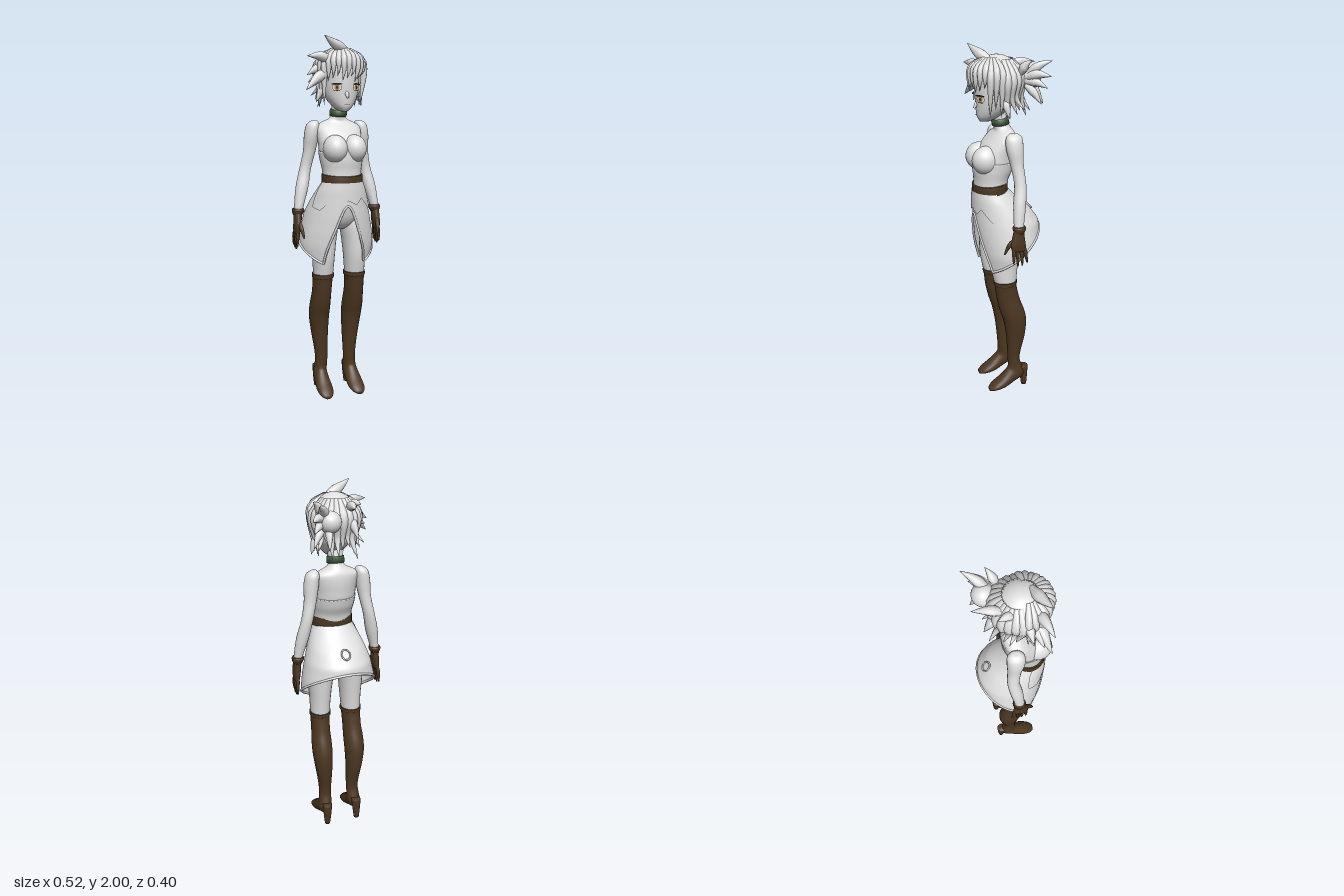
import * as THREE from 'three';
import { mergeVertices } from 'three/addons/utils/BufferGeometryUtils.js';

const material = (name, color) =>
  Object.assign(new THREE.MeshStandardMaterial({ color, side: THREE.DoubleSide }), { name });

// Smooth surface from a rule fn(u, v) -> [x, y, z]
function grid(fn, nu, nv) {
  const pos = [], idx = [], w = nu + 1;
  for (let i = 0; i <= nv; i++) for (let j = 0; j <= nu; j++) pos.push(...fn(j / nu, i / nv));
  for (let i = 0; i < nv; i++) for (let j = 0; j < nu; j++) {
    const a = i * w + j;
    idx.push(a, a + 1, a + w, a + 1, a + w + 1, a + w);
  }
  let g = new THREE.BufferGeometry();
  g.setAttribute('position', new THREE.Float32BufferAttribute(pos, 3));
  g.setIndex(idx);
  g = mergeVertices(g, 1e-5);
  g.computeVertexNormals();
  return g;
}

// Closed body through rings listed top to bottom: [x, y, z, halfWidth, halfDepth, tilt]
function loft(rings, n = 24, sub = 4) {
  const rows = [], at = i => rings[Math.min(Math.max(i, 0), rings.length - 1)];
  for (let i = 0; i < rings.length - 1; i++) for (let k = 0; k < sub; k++) {
    const t = k / sub;
    rows.push([0, 1, 2, 3, 4, 5].map(c => {
      const [p, q, r, s] = [-1, 0, 1, 2].map(d => at(i + d)[c] || 0);
      return q + 0.5 * t * (r - p + t * (2 * p - 5 * q + 4 * r - s + t * (3 * (q - r) + s - p)));
    }));
  }
  rows.push(at(rings.length));
  const nv = rows.length + 1;
  return grid((u, v) => {
    const i = Math.round(v * nv), cap = i === 0 || i === nv ? 0 : 1;
    const [x, y, z, w, d, tilt = 0] = rows[Math.min(Math.max(i - 1, 0), rows.length - 1)];
    const a = (u === 1 ? 0 : u) * Math.PI * 2, s = Math.sin(a) * d * cap;
    return [x + Math.cos(a) * w * cap, y + s * Math.sin(tilt), z + s * Math.cos(tilt)];
  }, n, nv);
}

// Tapered lock, spike or finger swept along points
function lock(points, r, tip = 0.03, sides = 8) {
  const curve = new THREE.CatmullRomCurve3(points.map(p => new THREE.Vector3(...p)));
  const seg = 10, g = new THREE.TubeGeometry(curve, seg, r, sides);
  const p = g.attributes.position, v = new THREE.Vector3();
  for (let i = 0; i < p.count; i++) {
    const t = Math.floor(i / (sides + 1)) / seg, c = curve.getPointAt(t);
    const k = t < 0.35 ? 0.6 + 0.4 * t / 0.35 : 1 - (1 - tip) * ((t - 0.35) / 0.65) ** 1.3;
    v.fromBufferAttribute(p, i).sub(c).multiplyScalar(k).add(c);
    p.setXYZ(i, v.x, v.y, v.z);
  }
  g.deleteAttribute('uv');
  g.deleteAttribute('normal');
  const m = mergeVertices(g, 1e-6);
  m.computeVertexNormals();
  return m;
}

// Linear lookup in a table of rows sorted by their first entry
function lookup(table, x) {
  let i = 0;
  while (i < table.length - 2 && x > table[i + 1][0]) i++;
  const t = Math.min(Math.max((x - table[i][0]) / (table[i + 1][0] - table[i][0]), 0), 1);
  return table[i].map((a, c) => a + (table[i + 1][c] - a) * t);
}

// Skirt cross-sections: [y, centreZ, halfWidth, halfDepth]
const SKIRT = [[0.79, -0.02, 0.2, 0.162], [0.88, -0.02, 0.214, 0.178], [0.96, -0.016, 0.204, 0.184],
  [1.05, -0.008, 0.184, 0.183], [1.12, 0.018, 0.16, 0.158], [1.19, 0.058, 0.132, 0.118], [1.24, 0.08, 0.107, 0.094]];
const skirtPoint = (phi, y, off = 0) => {
  const [, zc, w, d] = lookup(SKIRT, y);
  return [Math.sin(phi) * (w + off), y, zc + Math.cos(phi) * (d + off)];
};
const skirtHem = phi => {
  const a = Math.abs(phi);
  return a < 0.641 ? lookup([[0, 1.11], [0.1, 1.1], [0.22, 1.05], [0.641, 0.79]], a)[1]
    : 0.79 + (0.8 - Math.cos(a)) * 0.128;
};

export function createModel() {
  const model = new THREE.Group();
  model.name = 'figure';
  const pale = material('pale', 0xe0e0e0), brown = material('brown leather', 0x4d3721);
  const green = material('green band', 0x3d5c3d), dark = material('dark lash', 0x33261f);
  const amber = material('amber iris', 0xb98a3c), white = material('eye white', 0xf4f4f4), lip = material('lip', 0xa08c8a);
  const add = (name, geo, mat, pos = [0, 0, 0], scale = [1, 1, 1], rot = [0, 0, 0]) => {
    const m = new THREE.Mesh(geo, mat);
    m.name = name;
    m.position.set(...pos);
    m.scale.set(...scale);
    m.rotation.set(...rot);
    model.add(m);
    return m;
  };
  const ball = new THREE.SphereGeometry(1, 24, 16), disc = new THREE.CircleGeometry(1, 24);

  // Torso, halter top, belt and hips
  add('torso', loft([[0, 1.68, 0.04, 0.04, 0.04], [0, 1.6, 0.02, 0.04, 0.04], [0, 1.572, 0.01, 0.052, 0.045],
    [0, 1.555, 0.005, 0.088, 0.052], [0, 1.53, 0.012, 0.125, 0.068], [0, 1.49, 0.03, 0.126, 0.088],
    [0, 1.44, 0.05, 0.122, 0.104], [0, 1.4, 0.06, 0.12, 0.11], [0, 1.35, 0.067, 0.114, 0.104],
    [0, 1.3, 0.076, 0.105, 0.09], [0, 1.24, 0.08, 0.104, 0.088], [0, 1.2, 0.07, 0.11, 0.095]], 32), pale);
  add('halterTop', loft([[0, 1.4, 0.06, 0.124, 0.114], [0, 1.35, 0.067, 0.118, 0.108],
    [0, 1.3, 0.076, 0.109, 0.094], [0, 1.25, 0.08, 0.107, 0.091]], 32), pale);
  add('belt', loft([[0, 1.279, 0.083, 0.11, 0.092, -0.1], [0, 1.275, 0.083, 0.114, 0.096, -0.1],
    [0, 1.225, 0.083, 0.114, 0.096, -0.1], [0, 1.22, 0.083, 0.109, 0.09, -0.1]], 36, 1), brown);
  add('hips', loft([[0, 1.22, 0.07, 0.105, 0.088], [0, 1.12, 0.04, 0.128, 0.108], [0, 1.05, 0.025, 0.132, 0.11],
    [0, 1.0, 0.02, 0.1, 0.09], [0, 0.97, 0.02, 0.035, 0.055]], 28), pale);
  add('choker', loft([[0, 1.622, 0.026, 0.047, 0.046, -0.15], [0, 1.588, 0.018, 0.048, 0.047, -0.15]], 24, 1), green);

  // Skirt with arched front opening, rising back hem, edge trim and hip flaps
  const around = u => Math.PI * (1 - 2 * u);
  add('skirt', grid((u, v) => {
    const phi = around(u);
    return skirtPoint(phi, 1.24 + (skirtHem(phi) - 1.24) * v);
  }, 98, 16), pale);
  const hem = [];
  for (let i = 0; i < 98; i++) hem.push(new THREE.Vector3(...skirtPoint(around(i / 98), skirtHem(around(i / 98)))));
  add('skirtTrim', new THREE.TubeGeometry(new THREE.CatmullRomCurve3(hem, true), 196, 0.007, 6, true), pale);
  const flap = [[0, 1.14], [0.3, 1.115], [0.55, 1.15], [0.9, 1.085], [1.25, 1.1], [1.5, 1.2]];
  add('hipFlaps', grid((u, v) => {
    const phi = 1.5 - 3 * u;
    return skirtPoint(phi, 1.235 + (lookup(flap, Math.abs(phi))[1] - 1.235) * v, 0.007);
  }, 60, 8), pale);
  add('tailHoleRing', new THREE.TorusGeometry(0.03, 0.005, 8, 24), pale, [0, 1.12, -0.142], [0.8, 1, 1])
    .lookAt(0, 1.25, -0.282);

  for (const s of [1, -1]) {
    const side = s > 0 ? 'left' : 'right';
    const put = (name, rings, mat, n) => add(side + name, loft(rings.map(([x, ...r]) => [s * x, ...r]), n), mat);
    add(side + 'Bust', ball, pale, [s * 0.054, 1.413, 0.122], [0.066, 0.076, 0.076]);
    add(side + 'Buttock', ball, pale, [s * 0.062, 1.02, -0.03], [0.066, 0.075, 0.075]);

    // Arm and glove
    put('Arm', [[0.128, 1.562, -0.004, 0.015, 0.02], [0.137, 1.54, -0.004, 0.035, 0.044],
      [0.146, 1.48, -0.005, 0.04, 0.046], [0.155, 1.4, -0.014, 0.034, 0.036], [0.177, 1.3, -0.024, 0.032, 0.032],
      [0.2, 1.2, -0.012, 0.035, 0.034], [0.222, 1.1, 0, 0.026, 0.028], [0.23, 1.05, 0, 0.022, 0.026]], pale, 18);
    put('GloveCuff', [[0.227, 1.087, 0, 0.03, 0.032], [0.227, 1.078, 0, 0.034, 0.036],
      [0.228, 1.066, 0, 0.032, 0.034], [0.23, 1.05, 0.002, 0.024, 0.028]], brown, 18);
    put('GlovePalm', [[0.23, 1.07, 0.002, 0.024, 0.028], [0.232, 1.03, 0.006, 0.022, 0.034],
      [0.235, 0.985, 0.008, 0.02, 0.042], [0.238, 0.95, 0.004, 0.014, 0.04]], brown, 18);
    [[0.034, 0.036, 0.88], [0.014, 0.012, 0.863], [-0.008, -0.014, 0.865], [-0.026, -0.042, 0.878]].forEach(([z0, z1, y]) =>
      add(side + 'Finger', lock([[s * 0.236, 0.975, z0], [s * 0.242, 0.92, (z0 + z1) / 2], [s * 0.242, y, z1]], 0.012, 0.35), brown));
    add(side + 'Thumb', lock([[s * 0.23, 1.02, 0.025], [s * 0.224, 0.975, 0.06], [s * 0.216, 0.93, 0.078]], 0.013, 0.35), brown);

    // Thigh, tall boot and heel
    put('Thigh', [[0.075, 1.09, 0.02, 0.055, 0.07], [0.083, 1.0, 0.025, 0.074, 0.09], [0.09, 0.9, 0.03, 0.068, 0.086],
      [0.092, 0.8, 0.033, 0.06, 0.077], [0.094, 0.7, 0.028, 0.055, 0.062], [0.095, 0.66, 0.025, 0.05, 0.058]], pale);
    put('Boot', [[0.094, 0.718, 0.028, 0.061, 0.066], [0.094, 0.698, 0.028, 0.062, 0.066], [0.095, 0.685, 0.027, 0.056, 0.062],
      [0.097, 0.6, 0.012, 0.054, 0.066], [0.099, 0.52, -0.012, 0.058, 0.071], [0.099, 0.45, -0.03, 0.057, 0.067],
      [0.094, 0.35, -0.036, 0.048, 0.056], [0.088, 0.25, -0.03, 0.039, 0.041], [0.087, 0.19, -0.028, 0.036, 0.036, 0.1],
      [0.089, 0.145, -0.036, 0.037, 0.044, 0.25], [0.092, 0.105, -0.04, 0.04, 0.058, 0.5], [0.094, 0.075, 0, 0.042, 0.045, 0.9],
      [0.095, 0.044, 0.05, 0.046, 0.035, 1.2], [0.096, 0.025, 0.1, 0.04, 0.022, 1.45],
      [0.097, 0.014, 0.13, 0.02, 0.01, 1.55]], brown);
    put('Heel', [[0.092, 0.13, -0.085, 0.028, 0.03], [0.093, 0.08, -0.09, 0.025, 0.024],
      [0.094, 0.0, -0.092, 0.016, 0.016]], brown, 14);

    // Ear and eye
    add(side + 'Ear', ball, pale, [s * 0.1, 1.715, 0.035], [0.014, 0.036, 0.024], [0, 0, -s * 0.25]);
    const eye = new THREE.Group();
    eye.name = side + 'Eye';
    [['eyeWhite', white, 0, 0, 0, 0.027, 0.018], ['iris', amber, 0, 0, 0.002, 0.0135, 0.017], ['pupil', dark, 0, 0, 0.004, 0.006, 0.009],
      ['upperLash', dark, 0, 0.017, 0.005, 0.03, 0.005], ['lowerLash', dark, 0, -0.017, 0.003, 0.018, 0.002]].forEach(([name, mat, x, y, z, w, h]) => {
      const m = new THREE.Mesh(disc, mat);
      m.name = name;
      m.position.set(x, y, z);
      m.scale.set(w, h, 1);
      eye.add(m);
    });
    eye.position.set(s * 0.053, 1.735, 0.147);
    eye.rotation.y = s * 0.52;
    model.add(eye);
  }

  // Head
  add('head', loft([[0, 1.93, 0.05, 0.03, 0.04], [0, 1.9, 0.05, 0.075, 0.08], [0, 1.84, 0.05, 0.1, 0.105],
    [0, 1.77, 0.05, 0.1, 0.108], [0, 1.71, 0.052, 0.093, 0.103], [0, 1.67, 0.068, 0.076, 0.085],
    [0, 1.635, 0.088, 0.05, 0.06], [0, 1.612, 0.105, 0.022, 0.03]], 32), pale);
  add('nose', lock([[0, 1.715, 0.148], [0, 1.695, 0.157], [0, 1.682, 0.167]], 0.011, 0.5), pale);
  add('mouth', disc, lip, [0, 1.648, 0.154], [0.016, 0.003, 1]);

  // Hair cap, fringe and back locks
  add('hairCap', new THREE.SphereGeometry(1, 32, 20, 0, Math.PI * 2, 0, 1.75), pale, [0, 1.82, 0.042], [0.124, 0.13, 0.13], [-0.55, 0, 0]);
  for (let i = 0; i < 15; i++) {
    const a = -1.5 + i * 3 / 14, x = Math.sin(a), z = Math.cos(a);
    const tip = Math.abs(a) > 0.95 ? 1.645 + (i % 2) * 0.04 : 1.765 + (i % 3) * 0.014;
    add('fringeLock', lock([[x * 0.05, 1.93, 0.06 + z * 0.05], [x * 0.117, 1.88, 0.045 + z * 0.13],
      [x * 0.126, 1.82, 0.045 + z * 0.14], [x * 0.115 - 0.01, tip, 0.045 + z * 0.135]], 0.021), pale);
  }
  for (let i = 0; i < 13; i++) {
    const a = 1.6 + i * 3.08 / 12, x = Math.sin(a), z = Math.cos(a), r = 0.1 + (i % 3) * 0.022;
    add('backLock', lock([[x * 0.06, 1.92, 0.03 + z * 0.06], [x * 0.118, 1.84, 0.035 + z * 0.125],
      [x * 0.108, 1.74, 0.03 + z * 0.115], [x * r, 1.635 + (i % 4) * 0.02, 0.005 + z * r]], 0.03), pale);
  }

  // Stray locks: [root, tip, radius], bent upward a little in the middle
  [[[0.02, 1.925, 0.09], [-0.125, 1.995, 0.155], 0.03], [[-0.06, 1.87, 0.1], [-0.215, 1.89, 0.15], 0.028],
    [[-0.08, 1.82, 0.09], [-0.22, 1.72, 0.145], 0.03], [[-0.08, 1.84, 0.05], [-0.19, 1.8, 0.065], 0.026],
    [[-0.08, 1.8, 0.08], [-0.2, 1.76, 0.11], 0.026], [[-0.08, 1.76, 0.06], [-0.145, 1.66, 0.08], 0.024],
    [[-0.05, 1.88, -0.04], [-0.03, 1.9, -0.185], 0.026], [[-0.04, 1.84, -0.06], [-0.065, 1.74, -0.14], 0.026],
    [[-0.07, 1.88, 0], [-0.1, 1.9, -0.08], 0.024], [[0.09, 1.74, 0.04], [0.135, 1.64, 0.02], 0.022],
    [[0.09, 1.85, -0.09], [0.16, 1.925, -0.2], 0.026], [[0.1, 1.84, -0.08], [0.188, 1.85, -0.185], 0.026],
    [[0.1, 1.82, -0.08], [0.175, 1.79, -0.17], 0.024], [[0.1, 1.8, -0.08], [0.17, 1.71, -0.14], 0.022],
    [[0.1, 1.86, -0.05], [0.155, 1.93, -0.09], 0.024], [[0.08, 1.82, -0.1], [0.1, 1.7, -0.18], 0.022],
  ].forEach(([a, b, r]) => add('strayLock',
    lock([a, a.map((v, i) => (v + b[i]) / 2 + (i === 1 ? (b[1] > 1.95 ? -0.005 : 0.012) : 0)), b], r), pale));
  add('hairBun', ball, pale, [0.075, 1.83, -0.115], [0.056, 0.056, 0.056]);
  return model;
}
